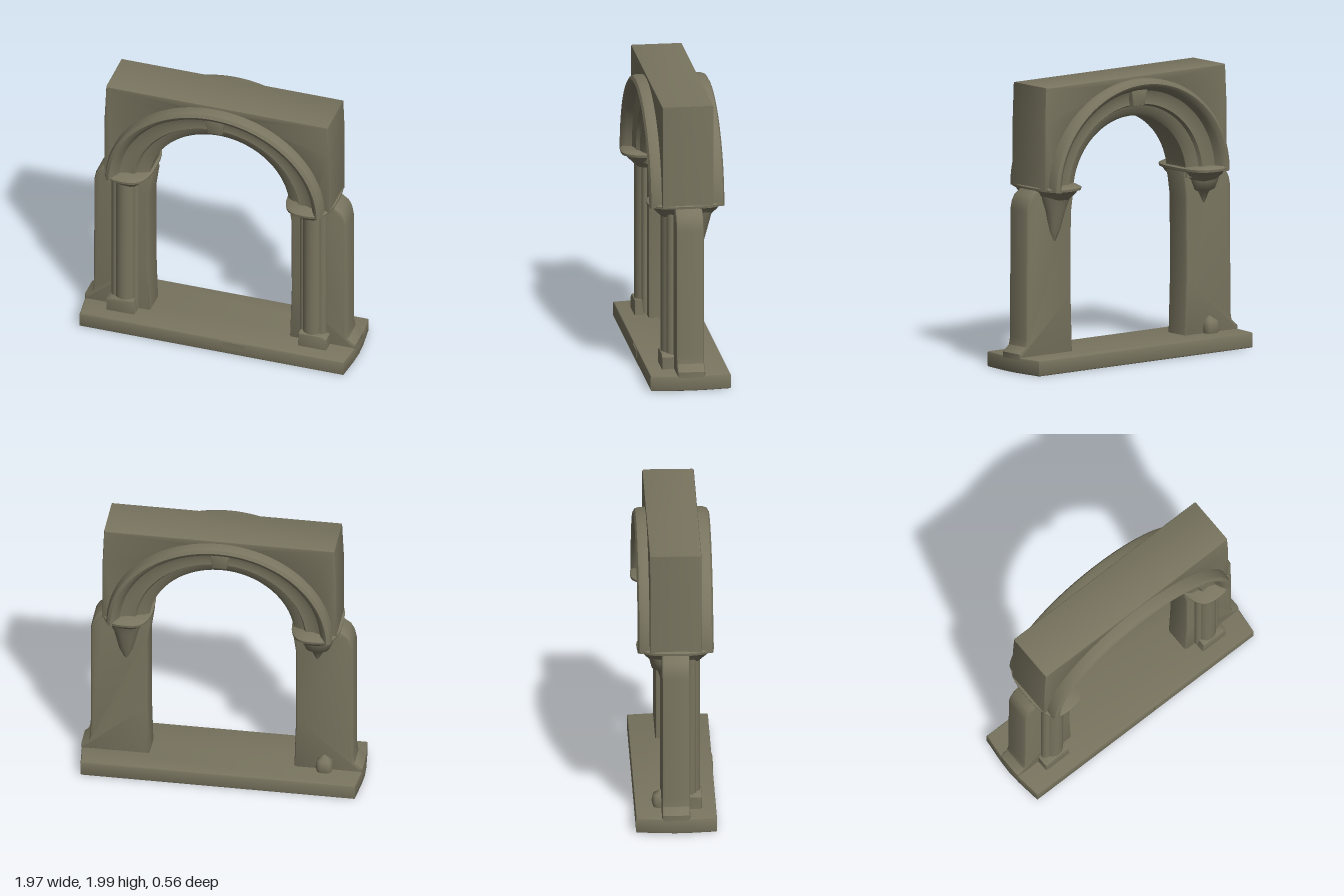
import * as THREE from 'three';
import { toCreasedNormals } from 'three/addons/utils/BufferGeometryUtils.js';

const stone = new THREE.MeshStandardMaterial({ color: 0x78745f });
stone.name = 'weathered stone';

function add(parent, name, geometry, crease = 0.6) {
  const mesh = new THREE.Mesh(toCreasedNormals(geometry, crease), stone);
  mesh.name = name;
  parent.add(mesh);
  return mesh;
}

// Skin over rows of points
function skin(rows) {
  const n = rows[0].length, index = [];
  for (let i = 0; i < rows.length - 1; i++) {
    for (let j = 0; j < n - 1; j++) {
      const a = i * n + j, b = a + 1, c = a + n, d = c + 1;
      index.push(a, b, c, b, d, c);
    }
  }
  const g = new THREE.BufferGeometry();
  g.setAttribute('position', new THREE.Float32BufferAttribute(rows.flat(2), 3));
  g.setIndex(index);
  g.computeVertexNormals();
  return g;
}

// Stacked rounded-rectangle sections: [y, half width, half depth, z offset]
function loft(levels, cx, power = 0.7) {
  const bend = v => Math.sign(v) * Math.pow(Math.abs(v), power);
  return skin(levels.map(([y, rx, rz, cz = 0]) => {
    const row = [];
    for (let i = 0; i <= 32; i++) {
      const a = (i / 32) * Math.PI * 2;
      row.push([cx + rx * bend(Math.cos(a)), y, cz - rz * bend(Math.sin(a))]);
    }
    return row;
  }));
}

// Outline extruded between z0 and z1 with softened edges
function slab(points, z0, z1, bevel) {
  const shape = new THREE.Shape(points.map(([x, y]) => new THREE.Vector2(x, y)));
  const g = new THREE.ExtrudeGeometry(shape, {
    depth: z1 - z0 - 2 * bevel, bevelEnabled: bevel > 0, bevelThickness: bevel,
    bevelSize: bevel, bevelOffset: -bevel, bevelSegments: 2,
  });
  return g.translate(0, 0, z0 + bevel);
}

function box(w, h, d, x, y, z) {
  return new THREE.BoxGeometry(w, h, d).translate(x, y, z);
}

// Point on the arch; t runs from the inner edge (0) to the outer edge (1)
function archPoint(t, angle) {
  const mix = THREE.MathUtils.lerp;
  return [mix(0.51, 0.79, t) * Math.cos(angle),
    mix(1.22, 1.27, t) + mix(0.49, 0.71, t) * Math.sin(angle)];
}

function buildBase(group) {
  const plan = [[-0.96, -0.28], [0.96, -0.28], [0.98, -0.1], [0.985, 0], [0.98, 0.1],
    [0.96, 0.28], [-0.96, 0.28], [-0.98, 0.1], [-0.985, 0], [-0.98, -0.1]];
  add(group, 'base', slab(plan, 0.005, 0.115, 0.012).rotateX(-Math.PI / 2));
  add(group, 'baseTab', box(0.16, 0.06, 0.012, 0.16, 0.075, 0.279));
}

function buildPillar(group, s) {
  const side = new THREE.Group();
  side.name = s > 0 ? 'leftPillar' : 'rightPillar';
  group.add(side);

  // Wall pier with a rounded shoulder and flared foot
  const outline = [[0.505, 0.1], [0.985, 0.1], [0.985, 0.14], [0.93, 0.185], [0.92, 0.24],
    [0.917, 1.13], [0.905, 1.19], [0.88, 1.235], [0.83, 1.27], [0.5, 1.27],
    [0.495, 1.22], [0.515, 1.08], [0.517, 0.5]];
  add(side, 'pier', slab(outline.map(([x, y]) => [s * x, y]), -0.1, 0.095, 0.02));

  // Clustered shafts on the front
  for (const [x, z, r] of [[0.68, 0.1, 0.072], [0.745, 0.105, 0.036], [0.615, 0.1, 0.03]]) {
    add(side, 'shaft', new THREE.CylinderGeometry(r, r, 1.1, 20).translate(s * x, 0.68, z));
  }
  add(side, 'shaftFoot', slab([[0.59, 0.1], [0.8, 0.1], [0.8, 0.2], [0.77, 0.22], [0.6, 0.22]]
    .map(([x, y]) => [s * x, y]), 0.05, 0.18, 0.012));

  // Capital flaring out to a thin rim
  add(side, 'capital', loft([[1.17, 0, 0], [1.175, 0.09, 0.16], [1.2, 0.11, 0.185],
    [1.235, 0.145, 0.22], [1.258, 0.155, 0.24], [1.268, 0.172, 0.268],
    [1.285, 0.174, 0.27], [1.298, 0.15, 0.25], [1.3, 0, 0]], s * 0.66), 0.8);

  // Tapering corbel under the capital at the back
  const low = s > 0 ? 0.9 : 1.03;
  add(side, 'corbel', loft([[low, 0.01, 0.01, -0.09], [low + 0.08, 0.05, 0.04, -0.085],
    [1.13, 0.085, 0.075, -0.09], [1.19, 0.11, 0.085, -0.095], [1.24, 0.12, 0.1, -0.1]],
    s * 0.67, 0.9), 1);
}

function buildWall(group) {
  const outline = [[0.765, 1.27], [0.822, 1.27], [0.822, 1.75], [0.812, 1.998],
    [-0.8, 1.998], [-0.812, 1.75], [-0.815, 1.27], [-0.765, 1.27]];
  for (let i = 31; i > 0; i--) {
    const a = (i / 32) * Math.PI;
    outline.push([0.75 * Math.cos(a), 1.27 + 0.67 * Math.sin(a)]);
  }
  add(group, 'upperWall', slab(outline, -0.18, 0.178, 0.01));
}

function buildArch(group) {
  // Moulded section: inner band, cove and outer roll
  const front = [[0, 0.105], [0.1, 0.13], [0.28, 0.145], [0.33, 0.17], [0.5, 0.165],
    [0.68, 0.185], [0.74, 0.225], [0.8, 0.25], [0.88, 0.262], [0.96, 0.25], [1, 0.22], [1, 0.15]];
  const section = [...front, ...front.slice().reverse().map(([t, z]) => [t, -z]), front[0]];
  const rows = [];
  for (let i = 0; i <= 48; i++) {
    const a = (i / 48) * Math.PI;
    rows.push(section.map(([t, z]) => [...archPoint(t, a), z]));
  }
  add(group, 'arch', skin(rows), 0.7);

  // Keystone showing on both faces
  add(group, 'keystone', slab([[-0.05, 1.79], [0.05, 1.79], [0.07, 1.91], [-0.08, 1.91]],
    -0.21, 0.21, 0.01));
}

export function createModel() {
  const group = new THREE.Group();
  group.name = 'stoneArchway';
  buildBase(group);
  for (const s of [-1, 1]) buildPillar(group, s);
  buildWall(group);
  buildArch(group);

  // Loose stone behind one pillar
  add(group, 'looseStone', loft([[0.1, 0.05, 0.04, -0.11], [0.15, 0.06, 0.055, -0.11],
    [0.2, 0.05, 0.05, -0.105], [0.24, 0, 0, -0.09]], -0.72), 0.9);
  return group;
}
